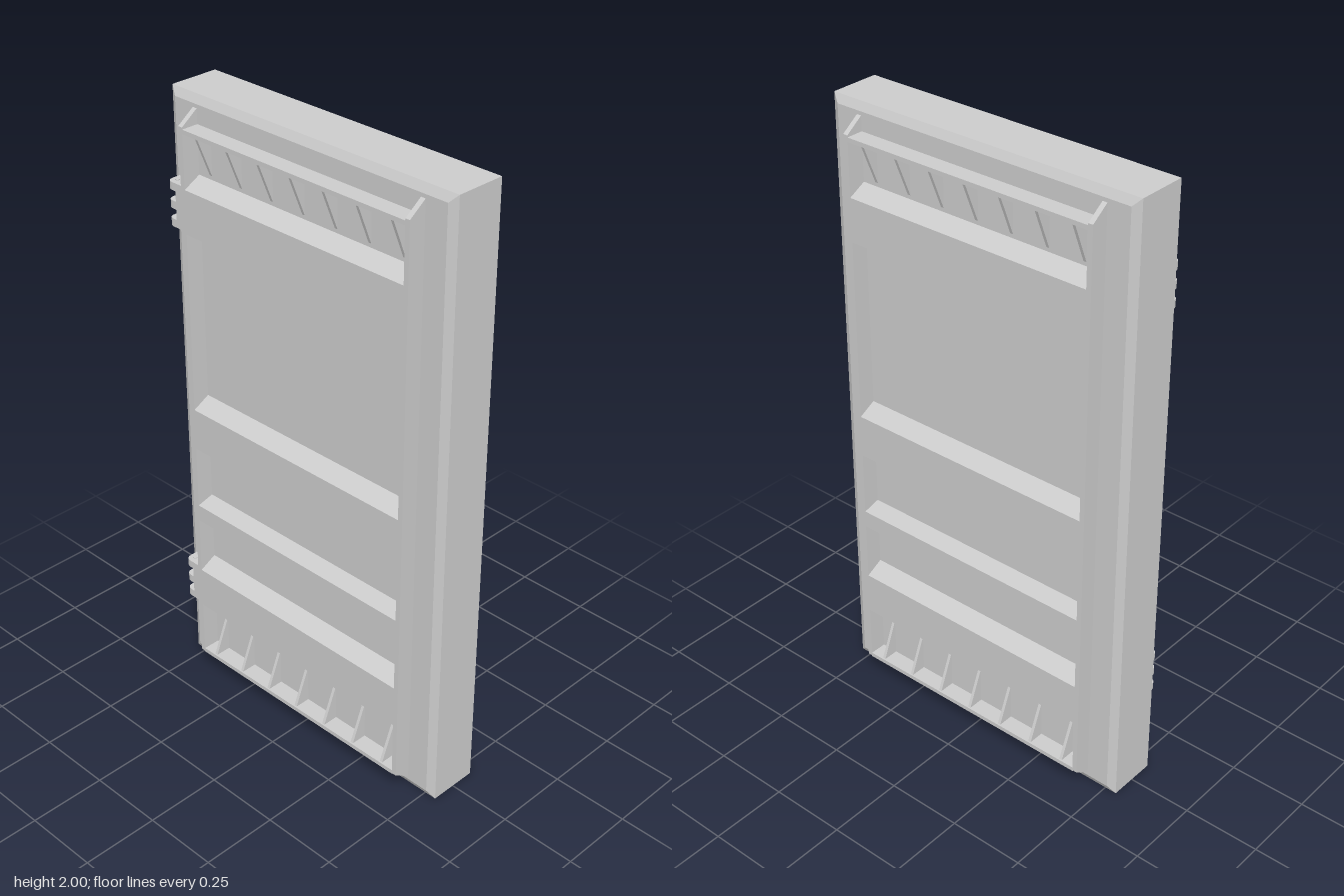
import * as THREE from 'three';

const material = new THREE.MeshStandardMaterial({ color: 0xcccccc });
const FACE = 0.095;  // slab face depth
const OUTER = 0.152; // depth of the raised framework
const SINK = 0.09;   // raised parts start just inside the slab

function addMesh(parent, geometry, name) {
  const mesh = new THREE.Mesh(geometry, material);
  mesh.name = name;
  parent.add(mesh);
  return mesh;
}

// Extrudes a [z, y] outline along x, centred on the given x
function addProfile(parent, name, points, width, x = 0) {
  const shape = new THREE.Shape(points.map(([z, y]) => new THREE.Vector2(z, y)));
  const geometry = new THREE.ExtrudeGeometry(shape, { depth: width, bevelEnabled: false });
  geometry.translate(0, 0, -width / 2);
  geometry.rotateY(-Math.PI / 2);
  geometry.translate(x, 0, 0);
  return addMesh(parent, geometry, name);
}

// Raised framework of one face: rails, end bars, beams and gusset ribs
function createFramework(name) {
  const group = new THREE.Group();
  group.name = name;

  for (const side of [-1, 1]) {
    addProfile(group, 'sideRail',
      [[SINK, 0.033], [FACE, 0.037], [OUTER, 0.075], [OUTER, 1.922], [FACE, 1.963], [SINK, 1.967]],
      0.016, side * 0.432);
  }

  for (const [low, high] of [[0.072, 0.086], [1.902, 1.916]]) {
    addProfile(group, 'endBar', [[SINK, low], [OUTER, low], [OUTER, high], [SINK, high]], 0.85);
  }

  // Beams: base bottom, base top, slope height
  const beams = [[1.563, 1.763, 0.03], [0.835, 1.035, 0.03], [0.583, 0.67, 0.015], [0.235, 0.435, 0.03]];
  for (const [low, high, slope] of beams) {
    addProfile(group, 'crossBeam',
      [[SINK, low], [FACE, low], [OUTER, low + slope], [OUTER, high - slope], [FACE, high], [SINK, high]], 0.85);
  }

  // Triangular gussets that widen towards the end bars
  for (let i = -3; i <= 3; i++) {
    const x = i * 0.1245;
    addProfile(group, 'upperRib', [[SINK, 1.775], [FACE, 1.775], [OUTER - 0.004, 1.905], [SINK, 1.905]], 0.01, x);
    addProfile(group, 'lowerRib', [[SINK, 0.083], [OUTER - 0.004, 0.083], [FACE, 0.213], [SINK, 0.213]], 0.01, x);
  }
  return group;
}

// Hinge leaf with three rounded knuckles and a pin
function createHinge(y) {
  const group = new THREE.Group();
  group.name = 'hinge';
  const leaf = addMesh(group, new THREE.BoxGeometry(0.04, 0.14, 0.053), 'hingeLeaf');
  leaf.position.set(-0.456, 0, 0.1165);

  const shape = new THREE.Shape();
  shape.moveTo(-0.47, -0.143);
  shape.lineTo(-0.47, -SINK);
  shape.lineTo(-0.511, -SINK);
  shape.lineTo(-0.511, -0.12);
  shape.quadraticCurveTo(-0.511, -0.143, -0.488, -0.143);
  const hole = new THREE.Path();
  hole.absarc(-0.491, -0.12, 0.007, 0, Math.PI * 2, true);
  shape.holes.push(hole);
  for (const offset of [-0.07, -0.0125, 0.045]) {
    const knuckle = new THREE.ExtrudeGeometry(shape, { depth: 0.025, bevelEnabled: false, curveSegments: 8 });
    knuckle.rotateX(-Math.PI / 2);
    knuckle.translate(0, offset, 0);
    addMesh(group, knuckle, 'hingeKnuckle');
  }
  const pin = addMesh(group, new THREE.CylinderGeometry(0.007, 0.007, 0.144, 12), 'hingePin');
  pin.position.set(-0.491, 0, 0.12);
  group.position.y = y;
  return group;
}

export function createModel() {
  const model = new THREE.Group();
  model.name = 'door';

  // Slab with chamfered edges on both faces
  const outline = new THREE.Shape([
    new THREE.Vector2(-0.54, 0), new THREE.Vector2(0.54, 0),
    new THREE.Vector2(0.54, 2), new THREE.Vector2(-0.54, 2),
  ]);
  const slab = new THREE.ExtrudeGeometry(outline, {
    depth: 0.162, bevelThickness: FACE - 0.081, bevelSize: 0.025, bevelOffset: -0.025, bevelSegments: 1,
  });
  slab.translate(0, 0, -0.081);
  addMesh(model, slab, 'doorSlab');

  // The same framework on both faces
  model.add(createFramework('frontFramework'));
  const back = createFramework('backFramework');
  back.rotation.y = Math.PI;
  model.add(back);

  for (const y of [0.335, 1.665]) model.add(createHinge(y));
  return model;
}
